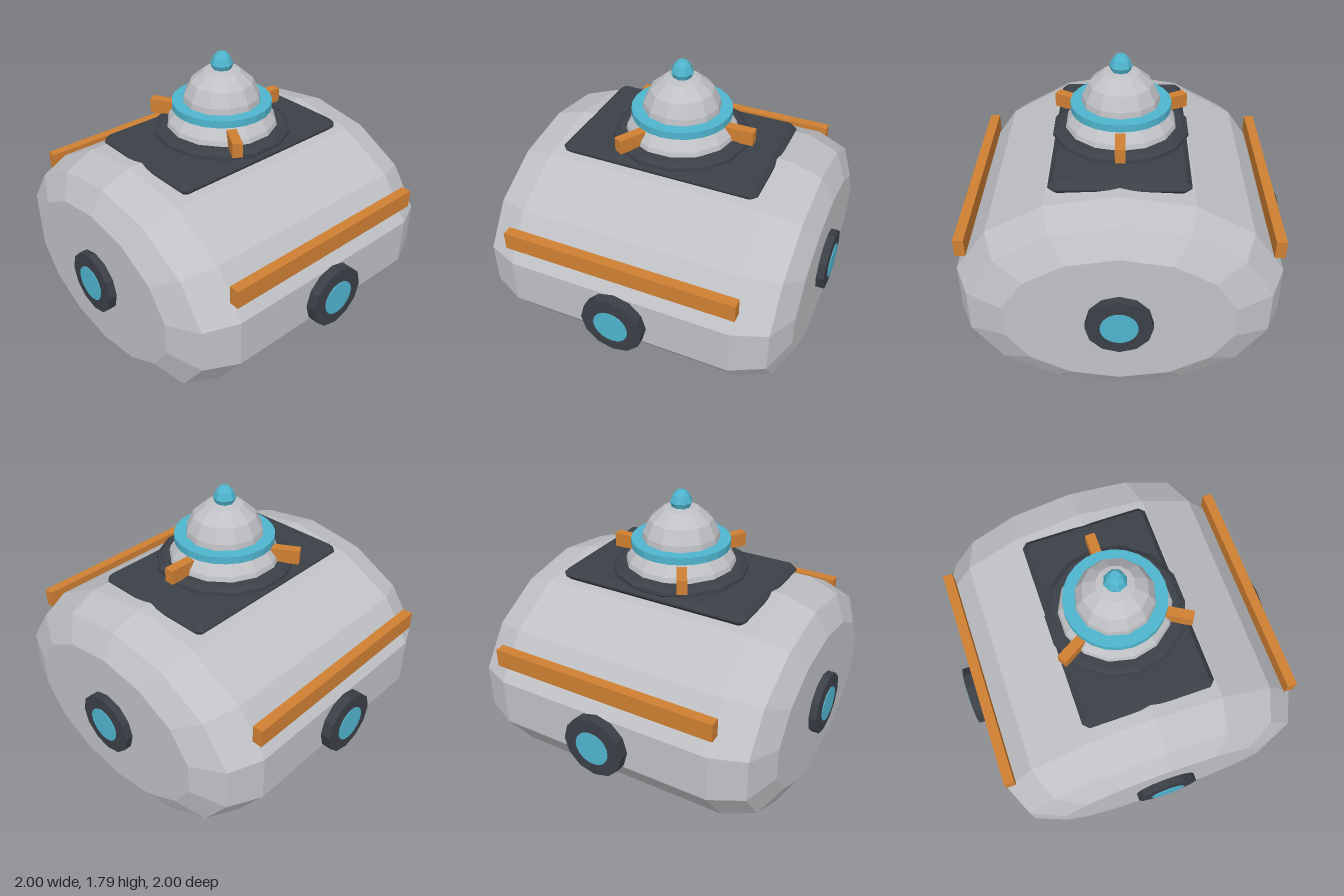
import * as THREE from 'three';

const mat = (name, hex) => {
  const m = new THREE.MeshStandardMaterial({ color: hex });
  m.name = name;
  return m;
};

// Faceted look: every face gets its own normal
function flat(geometry) {
  const g = geometry.index ? geometry.toNonIndexed() : geometry;
  g.computeVertexNormals();
  return g;
}

function lathe(points, sides) {
  return new THREE.LatheGeometry(points.map(([r, y]) => new THREE.Vector2(r, y)), sides);
}

export function createModel() {
  const hull = mat('light grey hull', 0xc0c1c5);
  const dark = mat('dark grey metal', 0x3b4047);
  const orange = mat('orange trim', 0xd08033);
  const cyan = mat('cyan glass', 0x4fb5ce);

  const model = new THREE.Group();
  model.name = 'capsulePod';
  const add = (name, geometry, material, parent = model) => {
    const mesh = new THREE.Mesh(flat(geometry), material);
    mesh.name = name;
    parent.add(mesh);
    return mesh;
  };

  // Elliptical barrel lying along z, with stepped rounded ends
  const body = lathe([
    [0, -0.945], [0.69, -0.945], [0.907, -0.862], [1, -0.67],
    [1, 0.67], [0.907, 0.862], [0.69, 0.945], [0, 0.945],
  ], 14);
  body.rotateX(Math.PI / 2);
  body.scale(0.945, 0.645, 1);
  body.translate(0, 0.645, 0);
  add('body', body, hull);

  // Round portholes on the front, left, back and right
  for (let i = 0; i < 4; i++) {
    const port = new THREE.Group();
    port.name = ['frontPort', 'leftPort', 'backPort', 'rightPort'][i];
    port.position.y = i % 2 ? 0.624 : 0.648;
    port.rotation.y = i * Math.PI / 2;
    const disc = (name, r, from, to, sides, material) => {
      const g = new THREE.CylinderGeometry(r, r, to - from, sides);
      g.rotateX(Math.PI / 2);
      g.translate(0, 0, (from + to) / 2);
      add(name, g, material, port);
    };
    disc('portRim', 0.188, 0.93, 0.99, 12, dark);
    disc('portHub', 0.106, 0.92, 0.995, 24, dark);
    disc('portGlass', 0.105, 0.995, 1, 24, cyan);
    model.add(port);
  }

  // Long side rails
  for (const side of [-1, 1]) {
    const rail = add('sideRail', new THREE.BoxGeometry(0.06, 0.108, 1.385), orange);
    rail.position.set(side * 0.885, 0.949, 0);
  }

  // Bevelled roof plate
  const w = 0.36, d = 0.57, c = 0.015;
  const outline = new THREE.Shape([
    [-w + c, -d], [w - c, -d], [w, -d + c], [w, d - c],
    [w - c, d], [-w + c, d], [-w, d - c], [-w, -d + c],
  ].map(([x, y]) => new THREE.Vector2(x, y)));
  const plate = new THREE.ExtrudeGeometry(outline, {
    depth: 0.01, bevelThickness: 0.03, bevelSize: 0.03, bevelSegments: 1,
  });
  plate.rotateX(-Math.PI / 2);
  plate.translate(0, 1.271, 0);
  add('roofPlate', plate, dark);

  // Turret: base ring, lower skirt, glowing band, dome and tip lamp
  add('turretBase', lathe([
    [0, 1.28], [0.36, 1.28], [0.408, 1.315], [0.405, 1.335], [0.37, 1.357], [0, 1.357],
  ], 14), dark);
  add('turretSkirt', lathe([
    [0, 1.35], [0.332, 1.35], [0.322, 1.385], [0.265, 1.457], [0, 1.457],
  ], 14), hull);
  add('turretBand', lathe([
    [0, 1.456], [0.295, 1.456], [0.295, 1.5], [0, 1.5],
  ], 24), cyan);
  add('turretDome', lathe([
    [0.232, 1.48], [0.225, 1.535], [0.185, 1.617], [0.107, 1.683], [0, 1.7],
  ], 12), hull);
  add('tipLamp', lathe([
    [0.03, 1.665], [0.052, 1.685], [0.067, 1.72], [0.05, 1.762], [0.03, 1.785], [0, 1.787],
  ], 8), cyan);

  // Three radial fins around the turret
  for (let i = 0; i < 3; i++) {
    const g = new THREE.BoxGeometry(0.058, 0.086, 0.17);
    g.translate(0, 1.396, -0.363);
    const fin = add('turretFin', g, orange);
    fin.rotation.y = i * Math.PI * 2 / 3;
  }

  return model;
}
